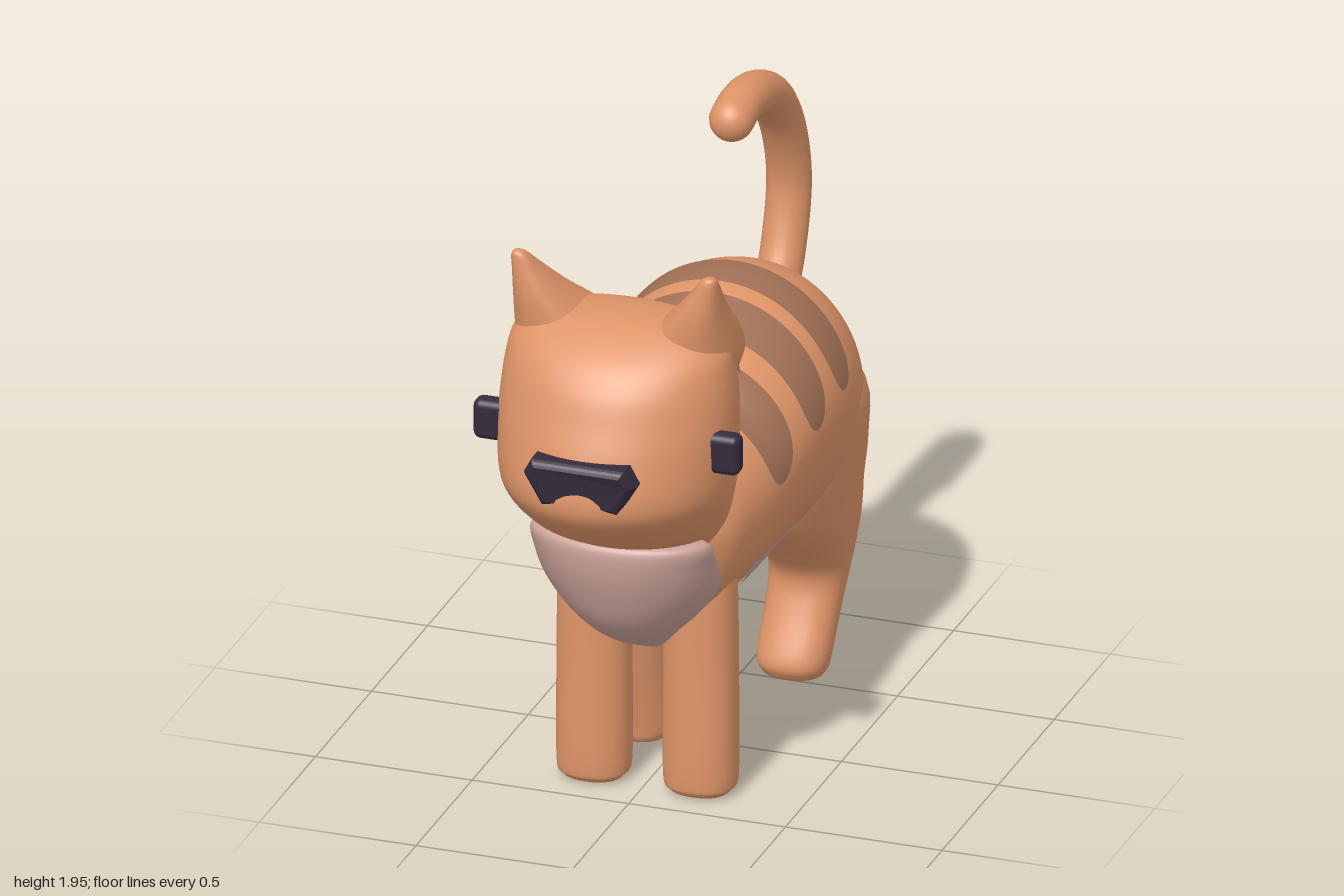
import * as THREE from 'three';
import { mergeVertices } from 'three/addons/utils/BufferGeometryUtils.js';
import { RoundedBoxGeometry } from 'three/addons/geometries/RoundedBoxGeometry.js';

// Smooth surface from a rule f(u, v) -> [x, y, z]
function surface(f, nu, nv, flip) {
  const pos = [], idx = [];
  for (let i = 0; i <= nu; i++) for (let j = 0; j <= nv; j++) pos.push(...f(i / nu, j / nv));
  for (let i = 0; i < nu; i++) for (let j = 0; j < nv; j++) {
    const a = i * (nv + 1) + j, b = a + nv + 1;
    if (flip) idx.push(a, a + 1, b, b, a + 1, b + 1);
    else idx.push(a, b, a + 1, b, b + 1, a + 1);
  }
  let g = new THREE.BufferGeometry();
  g.setAttribute('position', new THREE.Float32BufferAttribute(pos, 3));
  g.setIndex(idx);
  g = mergeVertices(g, 1e-5);
  g.computeVertexNormals();
  return g;
}

// Catmull-Rom through rows of numbers, t in 0..1
function rowAt(keys, t) {
  const n = keys.length - 1, s = Math.min(Math.max(t, 0), 1) * n;
  const i = Math.min(Math.floor(s), n - 1), f = s - i;
  const k = (j) => keys[Math.min(Math.max(j, 0), n)];
  const [a, b, c, d] = [k(i - 1), k(i), k(i + 1), k(i + 2)];
  return b.map((q, m) => q + 0.5 * f * (c[m] - a[m] +
    f * (2 * a[m] - 5 * q + 4 * c[m] - d[m] + f * (3 * (q - c[m]) + d[m] - a[m]))));
}

// Row at a given position along the shell's axis
function rowAtPos(keys, p) {
  let lo = 0, hi = 1;
  for (let i = 0; i < 30; i++) {
    const m = (lo + hi) / 2;
    if (rowAt(keys, m)[0] < p) lo = m; else hi = m;
  }
  return rowAt(keys, lo);
}

// Shell rows: [position, high edge, widest level, low edge, half width]
function shellPoint([p, hi, mid, lo, w], ang, axis, off = 0) {
  const s = Math.sin(ang);
  const q = mid + s * (s > 0 ? hi - mid + off : mid - lo + off);
  const x = (Math.max(w, 0) + off) * Math.cos(ang);
  return axis === 'z' ? [x, q, p] : [x, p, q];
}
const shell = (keys, axis) => surface(
  (u, v) => shellPoint(rowAt(keys, u), (v === 1 ? 0 : v) * Math.PI * 2, axis), 80, 64, axis === 'z');

// Round-ended band lying on a shell
function band(keys, axis, centre, half, ang, spread) {
  return surface((u, v) => {
    const t = Math.sin((v - 0.5) * Math.PI);
    const w = half * Math.sqrt(Math.max(0, 1 - Math.abs(t) ** 9));
    const p = centre(t) + (2 * u - 1) * w;
    return shellPoint(rowAtPos(keys, p), ang + t * spread, axis, 0.007);
  }, 10, 64, axis === 'z');
}

// Limb rows: [y, x, z, x radius, z radius]
function limb(keys) {
  return surface((u, v) => {
    const [y, x, z, rx, rz] = rowAt(keys, u);
    const a = (v === 1 ? 0 : v) * Math.PI * 2, c = Math.cos(a), s = Math.sin(a);
    const sq = (q) => Math.sign(q) * Math.abs(q) ** 0.85;
    return [x + Math.max(rx, 0) * sq(c), y, z + Math.max(rz, 0) * sq(s)];
  }, 48, 32, false);
}
const foot = (x, z) => [[0, x, z, 0, 0], [0.003, x, z, 0.075, 0.065],
  [0.02, x, z, 0.1, 0.09], [0.07, x, z, 0.113, 0.102]];

const BODY = [
  [-0.85, 0.8, 0.79, 0.78, 0], [-0.84, 0.95, 0.8, 0.62, 0.13], [-0.8, 1.1, 0.83, 0.52, 0.22],
  [-0.7, 1.26, 0.9, 0.46, 0.31], [-0.6, 1.33, 0.95, 0.45, 0.355], [-0.45, 1.375, 0.98, 0.46, 0.378],
  [-0.3, 1.362, 0.98, 0.5, 0.378], [-0.15, 1.31, 0.97, 0.515, 0.368], [0, 1.245, 0.93, 0.515, 0.352],
  [0.1, 1.185, 0.9, 0.515, 0.338], [0.25, 1.15, 0.88, 0.515, 0.32], [0.4, 1.1, 0.87, 0.53, 0.3],
  [0.5, 1.03, 0.88, 0.63, 0.25], [0.6, 0.98, 0.9, 0.76, 0.17], [0.65, 0.92, 0.9, 0.88, 0]];
const HEAD = [
  [0.78, 0.44, 0.42, 0.4, 0], [0.85, 0.6, 0.44, 0.27, 0.21], [0.93, 0.695, 0.46, 0.22, 0.275],
  [1.0, 0.82, 0.5, 0.2, 0.31], [1.1, 0.935, 0.57, 0.2, 0.345], [1.18, 0.965, 0.59, 0.212, 0.36],
  [1.3, 0.935, 0.59, 0.225, 0.365], [1.4, 0.895, 0.58, 0.25, 0.365], [1.5, 0.85, 0.57, 0.29, 0.355],
  [1.58, 0.78, 0.56, 0.34, 0.335], [1.64, 0.68, 0.55, 0.42, 0.27], [1.66, 0.61, 0.55, 0.49, 0.12],
  [1.663, 0.55, 0.55, 0.55, 0]];
const CHEST = [
  [0.495, 0.42, 0.42, 0.42, 0], [0.5, 0.44, 0.42, 0.37, 0.07], [0.57, 0.56, 0.42, 0.37, 0.14],
  [0.65, 0.64, 0.42, 0.37, 0.215], [0.75, 0.69, 0.45, 0.4, 0.275], [0.85, 0.718, 0.52, 0.46, 0.287],
  [0.93, 0.715, 0.57, 0.52, 0.28], [0.945, 0.66, 0.57, 0.54, 0.2], [0.947, 0.57, 0.57, 0.57, 0]];

export function createModel() {
  const cat = new THREE.Group();
  cat.name = 'cat';
  const mat = (name, color, side = THREE.FrontSide) => {
    const m = new THREE.MeshStandardMaterial({ color, side });
    m.name = name;
    return m;
  };
  const fur = mat('orange fur', 0xde9468);
  const stripe = mat('brown stripe', 0xa06f55, THREE.DoubleSide);
  const pale = mat('pale belly', 0xc9a198, THREE.DoubleSide);
  const dark = mat('dark eyes and nose', 0x352b3c);
  const add = (name, geo, m) => {
    const mesh = new THREE.Mesh(geo, m);
    mesh.name = name;
    cat.add(mesh);
    return mesh;
  };

  add('body', shell(BODY, 'z'), fur);
  add('head', shell(HEAD, 'y'), fur);
  add('chest', shell(CHEST, 'y'), pale);

  // Belly patch: wraps the underside up to a line that drops at the rear
  add('belly', surface((u, v) => {
    const z = -0.335 + u * 0.565;
    const edge = z > -0.12 ? 0.72 : 0.72 - 0.21 * ((-0.12 - z) / 0.215) ** 1.2;
    const row = rowAtPos(BODY, z), [, , mid, lo] = row;
    const a = Math.asin(Math.min(1, (mid - edge) / (mid - lo)));
    return shellPoint(row, Math.PI + a + v * (Math.PI - 2 * a), 'z', 0.007);
  }, 32, 32, true), pale);

  // Back stripes: centre at the spine, centre at the ends, half width, end angle
  for (const [top, end, half, low] of [[0.045, 0.075, 0.08, 0.1], [-0.19, -0.16, 0.075, 0.12], [-0.39, -0.37, 0.068, 0.18]]) {
    add('backStripe', band(BODY, 'z', (t) => top + (end - top) * t * t, half, Math.PI / 2, Math.PI / 2 - low), stripe);
  }
  // Stripes round the back of the head
  for (const [y, spread] of [[1.512, 1.33], [1.29, 1.02]]) {
    add('headStripe', band(HEAD, 'y', () => y, 0.07, Math.PI * 1.5, spread), stripe);
  }

  // Ears and eyes
  for (const s of [1, -1]) {
    add('ear', limb([
      [1.45, 0.19, 0.47, 0.13, 0.15], [1.52, 0.2, 0.48, 0.145, 0.18], [1.6, 0.215, 0.51, 0.13, 0.155],
      [1.7, 0.255, 0.568, 0.08, 0.098], [1.78, 0.285, 0.605, 0.045, 0.053], [1.825, 0.3, 0.625, 0.028, 0.027],
      [1.84, 0.305, 0.63, 0.015, 0.014], [1.844, 0.305, 0.63, 0, 0],
    ].map(([y, x, z, a, b]) => [y, s * x, z, a, b])), fur);
    add('eye', new RoundedBoxGeometry(0.14, 0.13, 0.066, 4, 0.024), dark).position.set(s * 0.355, 1.298, 0.682);
  }

  // Nose: bevelled plate bent round the muzzle
  const outline = new THREE.Shape([[-0.11, 1.18], [0.11, 1.18], [0.155, 1.26], [0.135, 1.295], [-0.135, 1.295], [-0.155, 1.26]]
    .map(([x, y]) => new THREE.Vector2(x, y)));
  const nose = new THREE.ExtrudeGeometry(outline, {
    depth: 0.07, bevelEnabled: true, bevelSize: 0.022, bevelThickness: 0.02, bevelSegments: 4 });
  const np = nose.attributes.position;
  for (let i = 0; i < np.count; i++) {
    const x = np.getX(i), y = np.getY(i);
    np.setZ(i, np.getZ(i) + 0.913 - x * x * 1.6 - Math.max(0, 1.27 - y) * 0.3);
  }
  nose.computeVertexNormals();
  add('nose', nose, dark);

  // Tail with a rounded tip
  const path = new THREE.CatmullRomCurve3([[1.03, -0.72], [1.12, -0.8], [1.25, -0.88], [1.45, -0.93], [1.64, -0.88],
    [1.79, -0.765], [1.865, -0.62], [1.882, -0.5], [1.866, -0.42]].map(([y, z]) => new THREE.Vector3(0, y, z)));
  add('tail', new THREE.TubeGeometry(path, 64, 0.069, 24), fur);
  add('tailTip', new THREE.SphereGeometry(0.069, 24, 16), fur).position.set(0, 1.866, -0.42);

  // Front legs
  for (const x of [0.17, -0.17]) {
    add('frontLeg', limb([...foot(x, 0.33), [0.4, x, 0.33, 0.113, 0.1], [0.7, x, 0.33, 0.108, 0.1],
      [0.85, x, 0.33, 0.09, 0.09], [0.92, x, 0.33, 0, 0]]), fur);
  }
  // Slanted middle leg, on one side only
  add('middleLeg', limb([...foot(-0.145, 0.012), [0.25, -0.145, 0.055, 0.113, 0.1],
    [0.5, -0.15, 0.11, 0.113, 0.1], [0.7, -0.16, 0.155, 0.1, 0.1], [0.85, -0.16, 0.18, 0, 0]]), fur);
  // Hind legs in stride
  add('rightHindLeg', limb([...foot(-0.15, -0.275), [0.25, -0.15, -0.315, 0.113, 0.102],
    [0.4, -0.155, -0.365, 0.115, 0.108], [0.55, -0.165, -0.43, 0.13, 0.19], [0.75, -0.185, -0.49, 0.155, 0.27],
    [0.95, -0.2, -0.5, 0.165, 0.25], [1.12, -0.18, -0.5, 0.08, 0.12], [1.15, -0.18, -0.5, 0, 0]]), fur);
  add('leftHindLeg', limb([...foot(0.15, -0.56), [0.2, 0.155, -0.625, 0.115, 0.105],
    [0.3, 0.16, -0.665, 0.12, 0.113], [0.38, 0.165, -0.66, 0.13, 0.148], [0.5, 0.17, -0.615, 0.148, 0.23],
    [0.6, 0.17, -0.575, 0.16, 0.275], [0.75, 0.18, -0.54, 0.172, 0.305], [0.95, 0.2, -0.51, 0.165, 0.26],
    [1.12, 0.18, -0.5, 0.08, 0.12], [1.15, 0.18, -0.5, 0, 0]]), fur);

  return cat;
}
